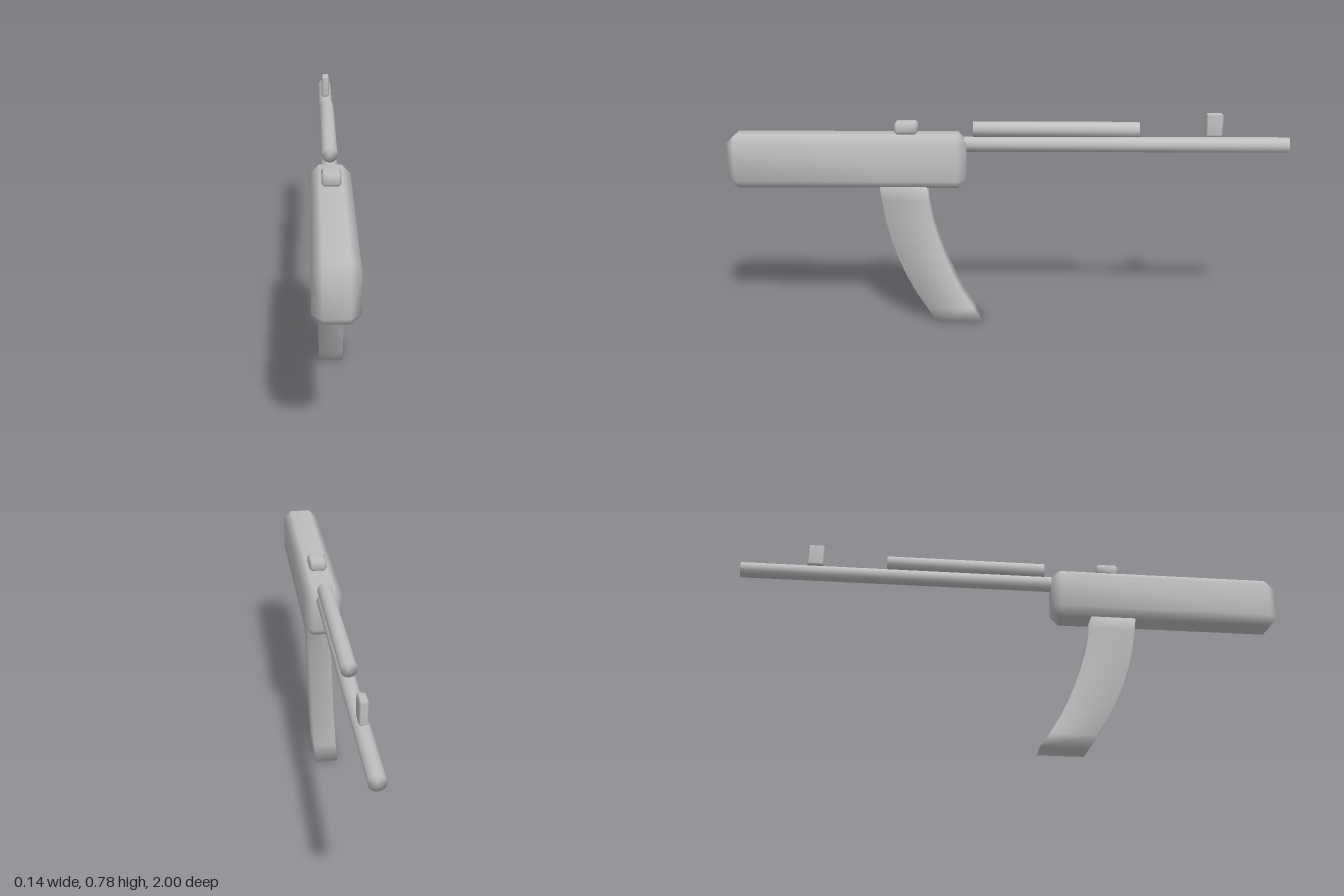
import * as THREE from 'three';
import { mergeVertices } from 'three/addons/utils/BufferGeometryUtils.js';
import { ConvexGeometry } from 'three/addons/geometries/ConvexGeometry.js';

// Weld all corners so the shading flows over every edge
function soften(geometry) {
  geometry.deleteAttribute('normal');
  geometry.deleteAttribute('uv');
  const welded = mergeVertices(geometry, 1e-4);
  welded.computeVertexNormals();
  return welded;
}

// Box with a single chamfer on all edges
function chamferedBox(w, h, d, c) {
  const points = [];
  for (const sx of [-1, 1]) for (const sy of [-1, 1]) for (const sz of [-1, 1]) {
    const x = w / 2, y = h / 2, z = d / 2;
    points.push(
      new THREE.Vector3(sx * x, sy * (y - c), sz * (z - c)),
      new THREE.Vector3(sx * (x - c), sy * y, sz * (z - c)),
      new THREE.Vector3(sx * (x - c), sy * (y - c), sz * z)
    );
  }
  return soften(new ConvexGeometry(points));
}

// Cylinder lying along z
function rod(radius, length) {
  return soften(new THREE.CylinderGeometry(radius, radius, length, 12).rotateX(Math.PI / 2));
}

// Rectangular section swept down a curve, by bending a box
function curvedGrip() {
  const line = (pts) => new THREE.SplineCurve(pts.map(([z, y]) => new THREE.Vector2(z, y)));
  const front = line([[0.46, 0.53], [0.44, 0.39], [0.4, 0.25], [0.34, 0.12], [0.263, 0]]);
  const back = line([[0.293, 0.53], [0.272, 0.39], [0.228, 0.25], [0.17, 0.12], [0.094, 0]]);
  const geometry = new THREE.BoxGeometry(0.084, 1, 1, 1, 8, 1);
  const pos = geometry.attributes.position;
  for (let i = 0; i < pos.count; i++) {
    const t = THREE.MathUtils.clamp(0.5 - pos.getY(i), 0, 1);
    const p = (pos.getZ(i) > 0 ? front : back).getPoint(t);
    pos.setXYZ(i, pos.getX(i), p.y, p.x);
  }
  return soften(geometry);
}

export function createModel() {
  const group = new THREE.Group();
  const grey = new THREE.MeshStandardMaterial({ color: 0xc0c0c0 });
  grey.name = 'lightGrey';

  const add = (name, geometry, y, z) => {
    const mesh = new THREE.Mesh(geometry, grey);
    mesh.name = name;
    mesh.position.set(0, y, z);
    group.add(mesh);
  };

  // Main body and curved part below it
  add('body', chamferedBox(0.139, 0.191, 0.852, 0.031), 0.611, 0.574);
  add('curvedGrip', curvedGrip(), 0, 0);

  // Long lower rod and shorter upper rod
  add('lowerRod', rod(0.028, 1.155), 0.667, -0.4225);
  add('upperRod', rod(0.028, 0.59), 0.722, -0.172);

  // Small blocks on top
  add('bodyBlock', chamferedBox(0.064, 0.042, 0.084, 0.009), 0.729, 0.362);
  add('rodBlock', chamferedBox(0.03, 0.082, 0.06, 0.006), 0.74, -0.732);

  return group;
}
